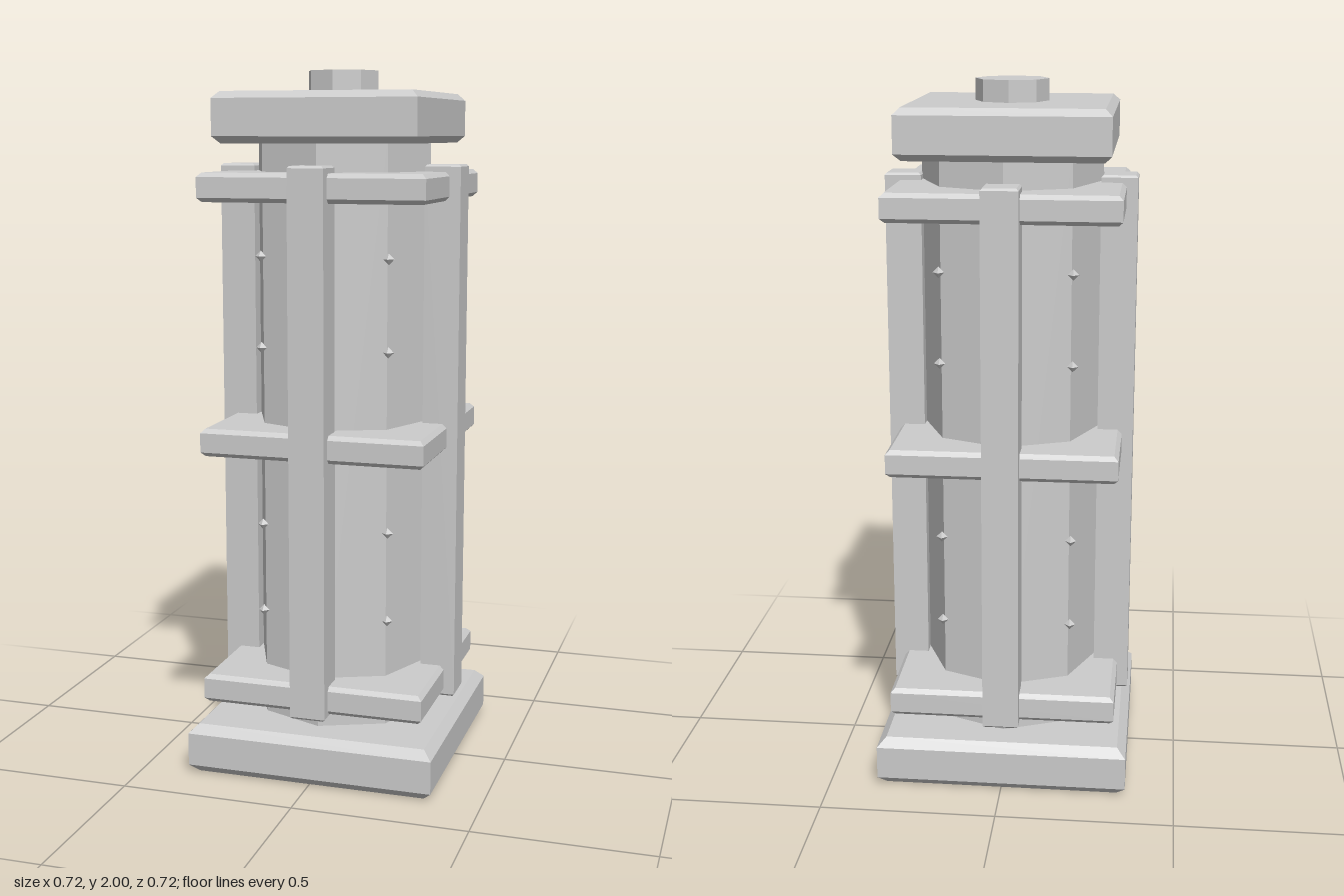
import * as THREE from 'three';

const material = new THREE.MeshStandardMaterial({ color: 0xcccccc, flatShading: true });

// Rectangular block with chamfered top and bottom rims, standing from y0 to y1
function chamferedBlock(name, width, depth, y0, y1, bevel) {
  const w = width / 2 - bevel, d = depth / 2 - bevel;
  const shape = new THREE.Shape([
    new THREE.Vector2(-w, -d), new THREE.Vector2(w, -d),
    new THREE.Vector2(w, d), new THREE.Vector2(-w, d),
  ]);
  const geometry = new THREE.ExtrudeGeometry(shape, {
    depth: y1 - y0 - 2 * bevel, bevelEnabled: true,
    bevelThickness: bevel, bevelSize: bevel, bevelSegments: 1,
  });
  geometry.rotateX(-Math.PI / 2).translate(0, y0 + bevel, 0);
  const mesh = new THREE.Mesh(geometry, material);
  mesh.name = name;
  return mesh;
}

// Eight-sided prism from y0 to y1
function octagonPrism(name, radius, y0, y1) {
  const geometry = new THREE.CylinderGeometry(radius, radius, y1 - y0, 8);
  geometry.translate(0, (y0 + y1) / 2, 0);
  const mesh = new THREE.Mesh(geometry, material);
  mesh.name = name;
  return mesh;
}

export function createModel() {
  const group = new THREE.Group();
  group.name = 'pillar';

  // Base, core, cap and knob
  group.add(
    chamferedBlock('base', 0.72, 0.72, 0, 0.145, 0.025),
    octagonPrism('core', 0.256, 0.12, 1.83),
    chamferedBlock('cap', 0.578, 0.578, 1.8, 1.94, 0.019),
    octagonPrism('knob', 0.103, 1.92, 2),
  );

  // Square bands around the core
  for (const [y0, y1] of [[0.208, 0.29], [0.933, 1.012], [1.642, 1.722]]) {
    group.add(chamferedBlock('band', 0.645, 0.645, y0, y1, 0.012));
  }

  // One upright post on each side
  for (let i = 0; i < 4; i++) {
    const post = chamferedBlock('post', 0.102, 0.102, 0.198, 1.742, 0.006);
    const angle = i * Math.PI / 2;
    post.position.set(Math.sin(angle) * 0.303, 0, Math.cos(angle) * 0.303);
    post.rotation.y = angle;
    group.add(post);
  }

  // Rivets along the four diagonal edges of the core
  const rivetGeometry = new THREE.OctahedronGeometry(0.016);
  for (const y of [0.457, 0.715, 1.23, 1.488]) {
    for (const x of [-0.186, 0.186]) {
      for (const z of [-0.186, 0.186]) {
        const rivet = new THREE.Mesh(rivetGeometry, material);
        rivet.name = 'rivet';
        rivet.position.set(x, y, z);
        group.add(rivet);
      }
    }
  }
  return group;
}
